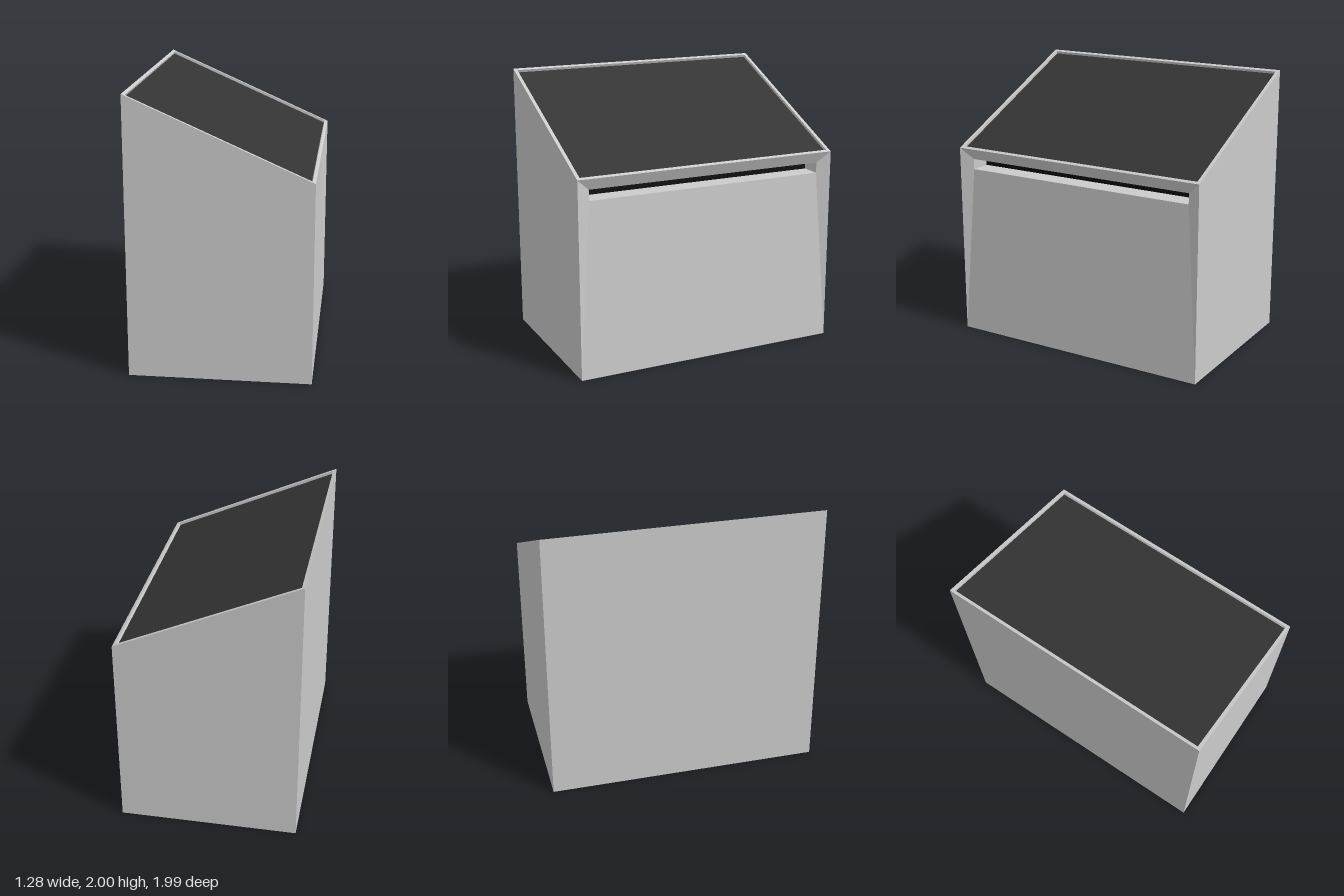
import * as THREE from 'three';

const W = 0.642, D = 0.995, HIGH = 2, LOW = 1.433;

// Flat-shaded mesh from quads, corners counter-clockwise seen from outside
function quadMesh(name, quads, color = 0xcccccc) {
  const pos = [];
  for (const [a, b, c, d] of quads) for (const p of [a, b, c, a, c, d]) pos.push(...p);
  const geo = new THREE.BufferGeometry();
  geo.setAttribute('position', new THREE.Float32BufferAttribute(pos, 3));
  geo.computeVertexNormals();
  const mesh = new THREE.Mesh(geo, new THREE.MeshStandardMaterial({ color, flatShading: true }));
  mesh.name = name;
  return mesh;
}

// Four quads joining an outer loop of corners to an inner loop
const band = (outer, inner) => outer.map((p, i) => {
  const j = (i + 1) % 4;
  return [p, outer[j], inner[j], inner[i]];
});

export function createModel() {
  const group = new THREE.Group();

  // Plain walls and base
  group.add(quadMesh('cabinetWalls', [
    [[-W, 0, D], [W, 0, D], [W, LOW, D], [-W, HIGH, D]],
    [[W, 0, -D], [-W, 0, -D], [-W, HIGH, -D], [W, LOW, -D]],
    [[-W, 0, -D], [-W, 0, D], [-W, HIGH, D], [-W, HIGH, -D]],
    [[-W, 0, -D], [W, 0, -D], [W, 0, D], [-W, 0, D]],
  ]));

  // Sloping top: raised rim around a sunken dark panel
  const len = Math.hypot(2 * W, HIGH - LOW);
  const cos = 2 * W / len, sin = (HIGH - LOW) / len;
  const topLoop = (inset, sink) => [[0, 1], [1, 1], [1, -1], [0, -1]].map(([end, side]) => {
    const s = end ? len - inset : inset;
    return [-W + s * cos - sink * sin, HIGH - s * sin - sink * cos, side * (D - inset)];
  });
  const rimOuter = topLoop(0, 0), rimInner = topLoop(0.025, 0), panel = topLoop(0.025, 0.02);
  group.add(quadMesh('topRim', [...band(rimOuter, rimInner), ...band(rimInner, panel)]));
  group.add(quadMesh('topPanel', [panel], 0x333333));

  // Tapered, slightly sunken wall on the low side, ending in a slot
  const sideLoop = (x, y0, y1, z) => [[x, y0, z], [x, y0, -z], [x, y1, -z], [x, y1, z]];
  const slotX = 0.602, slotDepth = 0.15;
  const wall = sideLoop(W, 0, LOW, D);
  const slot = sideLoop(slotX, 1.272, 1.35, 0.9);
  const slotBack = sideLoop(slotX - slotDepth, 1.272, 1.35, 0.9);
  group.add(quadMesh('slottedWall', band(wall, slot)));
  group.add(quadMesh('slotLining', band(slot, slotBack)));
  group.add(quadMesh('slotBack', [slotBack], 0x0a0a0a));

  return group;
}
